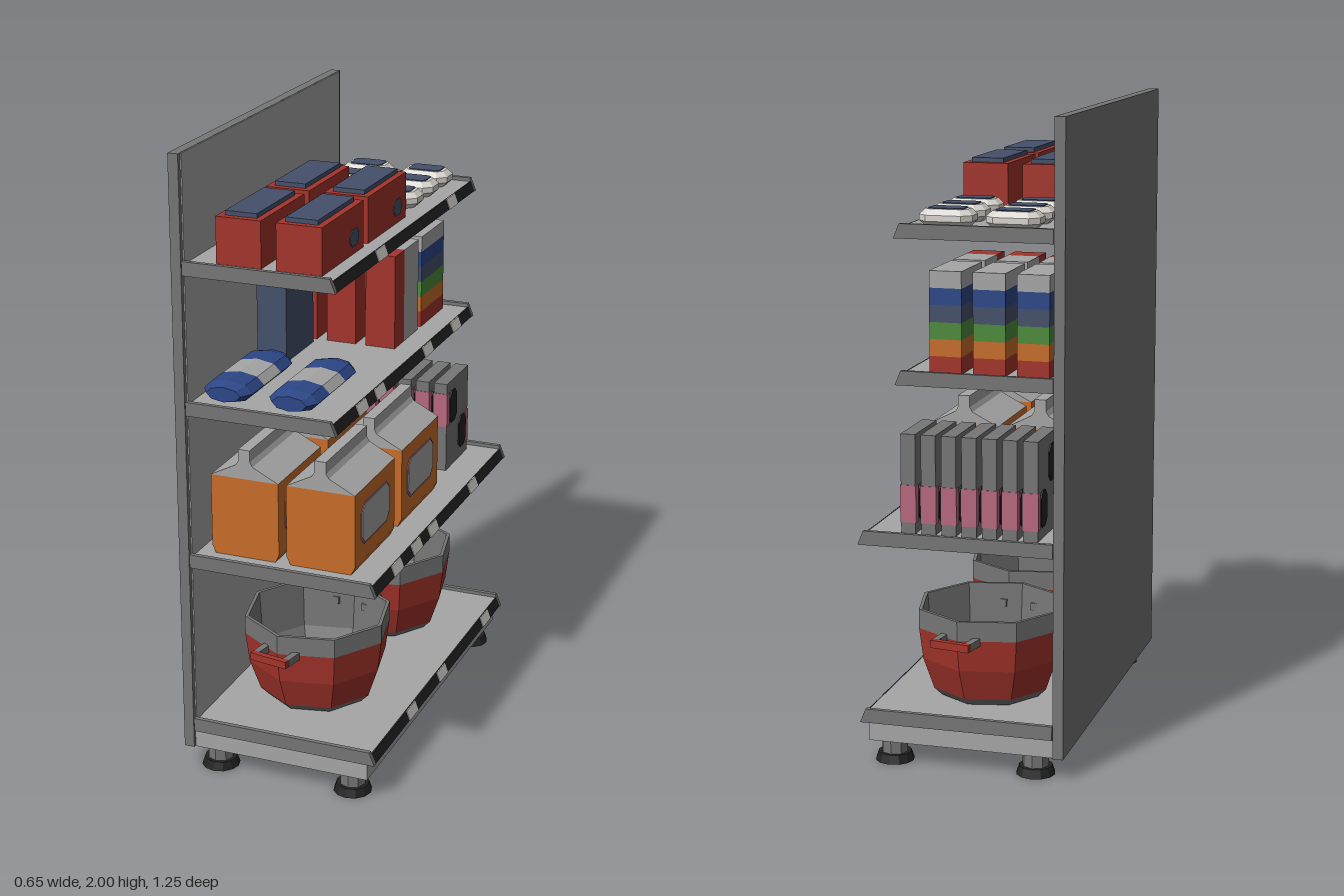
import * as THREE from 'three';

const mat = (name, color) => {
  const m = new THREE.MeshStandardMaterial({ color });
  m.name = name;
  return m;
};
const M = {
  dark: mat('dark grey', 0x767676), light: mat('light grey', 0xa6a6a6), black: mat('black', 0x222222),
  white: mat('white', 0xdad6d0), red: mat('red', 0xa4342b), navy: mat('navy', 0x44506a),
  blue: mat('blue', 0x2c4787), orange: mat('orange', 0xc86d2a), green: mat('green', 0x4d8c3c),
  pink: mat('pink', 0xb8687f),
};

const flat = (g) => {
  const f = g.index ? g.toNonIndexed() : g;
  f.computeVertexNormals();
  return f;
};

const group = (parent, name, x = 0, y = 0, z = 0) => {
  const g = new THREE.Group();
  g.name = name;
  g.position.set(x, y, z);
  parent.add(g);
  return g;
};

const add = (parent, name, geo, m, x = 0, y = 0, z = 0) => {
  const mesh = new THREE.Mesh(geo, m);
  mesh.name = name;
  mesh.position.set(x, y, z);
  parent.add(mesh);
  return mesh;
};

// box given by its limits on each axis
const box = (parent, name, m, x0, x1, y0, y1, z0, z1) =>
  add(parent, name, new THREE.BoxGeometry(x1 - x0, y1 - y0, z1 - z0), m,
    (x0 + x1) / 2, (y0 + y1) / 2, (z0 + z1) / 2);

// profile in x and y, extruded from z0 to z1
const prism = (pts, z0, z1) => {
  const g = new THREE.ExtrudeGeometry(new THREE.Shape(pts.map((p) => new THREE.Vector2(...p))),
    { depth: z1 - z0, bevelEnabled: false });
  return g.translate(0, 0, z0);
};

// outline of a rectangle with cut corners
const cutRect = (w, h, c) => {
  const a = w / 2, b = h / 2;
  return [[-a + c, -b], [a - c, -b], [a, -b + c], [a, b - c], [a - c, b], [-a + c, b], [-a, b - c], [-a, -b + c]];
};

// thin cut-corner plates facing +x, -x or up
const sidePlate = (parent, name, m, w, h, c, x, y, z, dir = 1) =>
  add(parent, name, prism(cutRect(w, h, c), 0, 0.004).rotateY(dir * Math.PI / 2), m, x, y, z);
const topPlate = (parent, name, m, w, d, c, x, y, z) =>
  add(parent, name, prism(cutRect(w, d, c), 0, 0.005).rotateX(-Math.PI / 2), m, x, y, z);

// shelf with end brackets, sloping price rail and labels
function addShelf(parent, name, y, front, labels) {
  const s = group(parent, name, 0, y, 0);
  const h = 0.032, slope = 0.012;
  add(s, 'shelfDeck', prism([[-0.29, 0], [front - 0.007, 0], [front - 0.007 - slope, h], [-0.29, h]], -0.605, 0.605), M.light);
  const rail = (x, t) => [[x, 0], [x + t, 0], [x + t - slope, h], [x - slope, h]];
  add(s, 'priceRail', prism(rail(front - 0.007, 0.005), -0.605, 0.605), M.black);
  for (const z of labels) add(s, 'priceLabel', prism(rail(front - 0.003, 0.003), z - 0.039, z + 0.039), M.white);
  for (const z of [-0.62, 0.605]) {
    add(s, 'endBracket', prism([[-0.29, 0], [front, 0], [front - 0.018, 0.044], [-0.29, 0.044]], z, z + 0.015), M.dark);
  }
}

// eight-sided cooking pot with two loop handles
function addPot(parent, z) {
  const pot = group(parent, 'cookingPot', -0.01, 0.16, z);
  pot.rotation.y = -THREE.MathUtils.degToRad(10);
  const lathe = (pts) => flat(new THREE.LatheGeometry(pts.map((p) => new THREE.Vector2(...p)), 8));
  add(pot, 'potBase', lathe([[0, 0.005], [0.165, 0.005], [0.19, 0.03]]), M.dark);
  add(pot, 'potBody', lathe([[0.19, 0.03], [0.225, 0.13], [0.238, 0.23]]), M.red);
  add(pot, 'potRimAndInside', lathe([[0.238, 0.23], [0.238, 0.292], [0.226, 0.292], [0.215, 0.13], [0.17, 0.03], [0, 0.03]]), M.dark);
  for (const s of [-1, 1]) {
    const handle = group(pot, 'potHandle', 0, 0.228, s * 0.225);
    box(handle, 'handleBar', M.red, -0.065, 0.065, -0.012, 0.012, s > 0 ? 0.045 : -0.065, s > 0 ? 0.065 : -0.045);
    for (const x of [-0.055, 0.055]) {
      box(handle, 'handleArm', M.dark, x - 0.011, x + 0.011, -0.012, 0.012, s > 0 ? -0.03 : -0.046, s > 0 ? 0.046 : 0.03);
    }
  }
}

// gable-top carton with framed panels on its wide sides
function addCarton(parent, x, z) {
  const c = group(parent, 'carton', x, 0.727, z);
  const d = 0.167;
  add(c, 'cartonBody', prism([[-0.1, 0], [0.1, 0], [0.112, 0.025], [0.112, 0.26], [-0.112, 0.26], [-0.112, 0.025]], -d, d), M.orange);
  add(c, 'cartonRoof', prism([[-0.112, 0.26], [0.112, 0.26], [0.028, 0.303], [0.019, 0.318], [0.019, 0.355],
    [-0.019, 0.355], [-0.019, 0.318], [-0.028, 0.303]], -d, d), M.light);
  for (const s of [-1, 1]) {
    sidePlate(c, 'panelBorder', M.pink, 0.235, 0.136, 0.025, s * 0.11, 0.143, 0, s);
    sidePlate(c, 'panelFace', M.light, 0.225, 0.126, 0.023, s * 0.112, 0.144, 0, s);
  }
}

// slim case with pink edge patches and dark side marks
function addCase(parent, x) {
  const c = group(parent, 'slimCase', x, 0.727, -0.457);
  const t = 0.023;
  box(c, 'caseBody', M.dark, -t, t, 0, 0.308, -0.107, 0.107);
  for (const s of [-1, 1]) {
    const y = s > 0 ? 0.215 : 0.092;
    box(c, 'edgePatch', M.pink, -t - 0.002, t + 0.002, y - 0.058, y + 0.058,
      s > 0 ? 0.083 : -0.109, s > 0 ? 0.109 : -0.083);
    for (const k of [-1, 1]) sidePlate(c, 'sideMark', M.black, 0.07, 0.113, 0.02, k * t, y, s * 0.048, k);
  }
}

// soft pouch: eight-sided tube with tapered ends and a pale band
function addPouch(parent, x) {
  const p = group(parent, 'pouch', x, 1.258, 0.378);
  const seg = (name, m, rFront, rBack, z0, z1, open) => {
    const g = new THREE.CylinderGeometry(rFront, rBack, z1 - z0, 8, 1, open);
    g.rotateX(Math.PI / 2).scale(0.08, 0.034, 1);
    add(p, name, flat(g), m, 0, 0, (z0 + z1) / 2);
  };
  seg('pouchBand', M.light, 1, 1, -0.063, 0.063, true);
  seg('pouchFront', M.blue, 1, 1, 0.063, 0.15, true);
  seg('pouchBack', M.blue, 1, 1, -0.15, -0.063, true);
  seg('pouchFrontEnd', M.blue, 0.7, 1, 0.15, 0.188, false);
  seg('pouchBackEnd', M.blue, 1, 0.7, -0.188, -0.15, false);
}

// small cut-corner tub with a dark lid
function addTub(parent, x, z) {
  const t = group(parent, 'tub', x, 1.666, z);
  const shape = new THREE.Shape(cutRect(0.13, 0.078, 0.018).map((p) => new THREE.Vector2(...p)));
  const g = new THREE.ExtrudeGeometry(shape,
    { depth: 0.018, bevelSize: 0.017, bevelThickness: 0.017, bevelSegments: 1 });
  add(t, 'tubBody', g.rotateX(-Math.PI / 2), M.white, 0, 0.017, 0);
  topPlate(t, 'tubLid', M.navy, 0.108, 0.07, 0.01, 0, 0.05, 0);
}

export function createModel() {
  const model = new THREE.Group();
  model.name = 'shopShelf';

  // back panel, base and feet
  box(model, 'backPanel', M.dark, -0.325, -0.292, 0.07, 2, -0.62, 0.62);
  box(model, 'panelFace', M.light, -0.293, -0.288, 0.13, 1.999, -0.605, 0.605);
  add(model, 'baseBox', prism([[-0.29, 0.07], [0.295, 0.07], [0.295, 0.127], [-0.29, 0.127]], -0.612, 0.612), M.light);
  for (const x of [-0.225, 0.228]) {
    for (const z of [-0.563, 0.563]) {
      const foot = group(model, 'foot', x, 0, z);
      add(foot, 'footPad', flat(new THREE.CylinderGeometry(0.052, 0.061, 0.027, 12)), M.black, 0, 0.0135, 0);
      add(foot, 'footStem', flat(new THREE.CylinderGeometry(0.042, 0.042, 0.045, 8)), M.dark, 0, 0.0485, 0);
    }
  }

  // shelves from bottom to top
  addShelf(model, 'bottomShelf', 0.128, 0.322, [0.265, -0.02, -0.465]);
  addShelf(model, 'lowerShelf', 0.695, 0.322, [0.41, 0.24, 0.09, -0.297]);
  addShelf(model, 'upperShelf', 1.195, 0.197, [0.39, 0.24, -0.187, -0.457]);
  addShelf(model, 'topShelf', 1.634, 0.197, [0.233, -0.4]);

  // bottom shelf goods
  addPot(model, 0.27);
  addPot(model, -0.31);

  // lower shelf goods
  for (const x of [-0.133, 0.117]) for (const z of [0.382, -0.015]) addCarton(model, x, z);
  for (let i = 0; i < 7; i++) addCase(model, -0.207 + i * 0.064);

  // upper shelf goods: pouches, tall boxes and stacked colours
  addPouch(model, -0.19);
  addPouch(model, 0.025);
  box(model, 'navyBox', M.navy, -0.265, -0.165, 1.227, 1.535, -0.075, 0.145);
  const layers = [M.red, M.orange, M.green, M.navy, M.blue, M.light];
  for (const x of [-0.265, -0.13, 0.005]) {
    box(model, 'tallBoxFront', M.red, x, x + 0.1, 1.227, 1.535, -0.19, -0.105);
    box(model, 'tallBoxBack', M.light, x, x + 0.1, 1.227, 1.535, -0.32, -0.19);
    const stack = group(model, 'stripedBox', 0, 1.227, 0);
    const h = 0.308 / 6;
    layers.forEach((m, i) => box(stack, 'stripe', m, x, x + 0.1, i * h, (i + 1) * h, -0.565, -0.35));
  }

  // top shelf goods: red cases with dark lids, and tubs
  for (const x of [-0.13, 0.062]) {
    for (const z of [0.405, 0.043]) {
      const c = group(model, 'redCase', x, 1.666, z);
      box(c, 'caseBody', M.red, -0.072, 0.072, 0, 0.145, -0.162, 0.162);
      box(c, 'caseLid', M.navy, -0.051, 0.051, 0.145, 0.159, -0.14, 0.14);
      sidePlate(c, 'caseBadge', M.navy, 0.068, 0.052, 0.016, 0.07, 0.05, -0.088);
    }
  }
  for (const x of [-0.152, 0.054]) for (const z of [-0.53, -0.395, -0.25]) addTub(model, x, z);

  return model;
}
